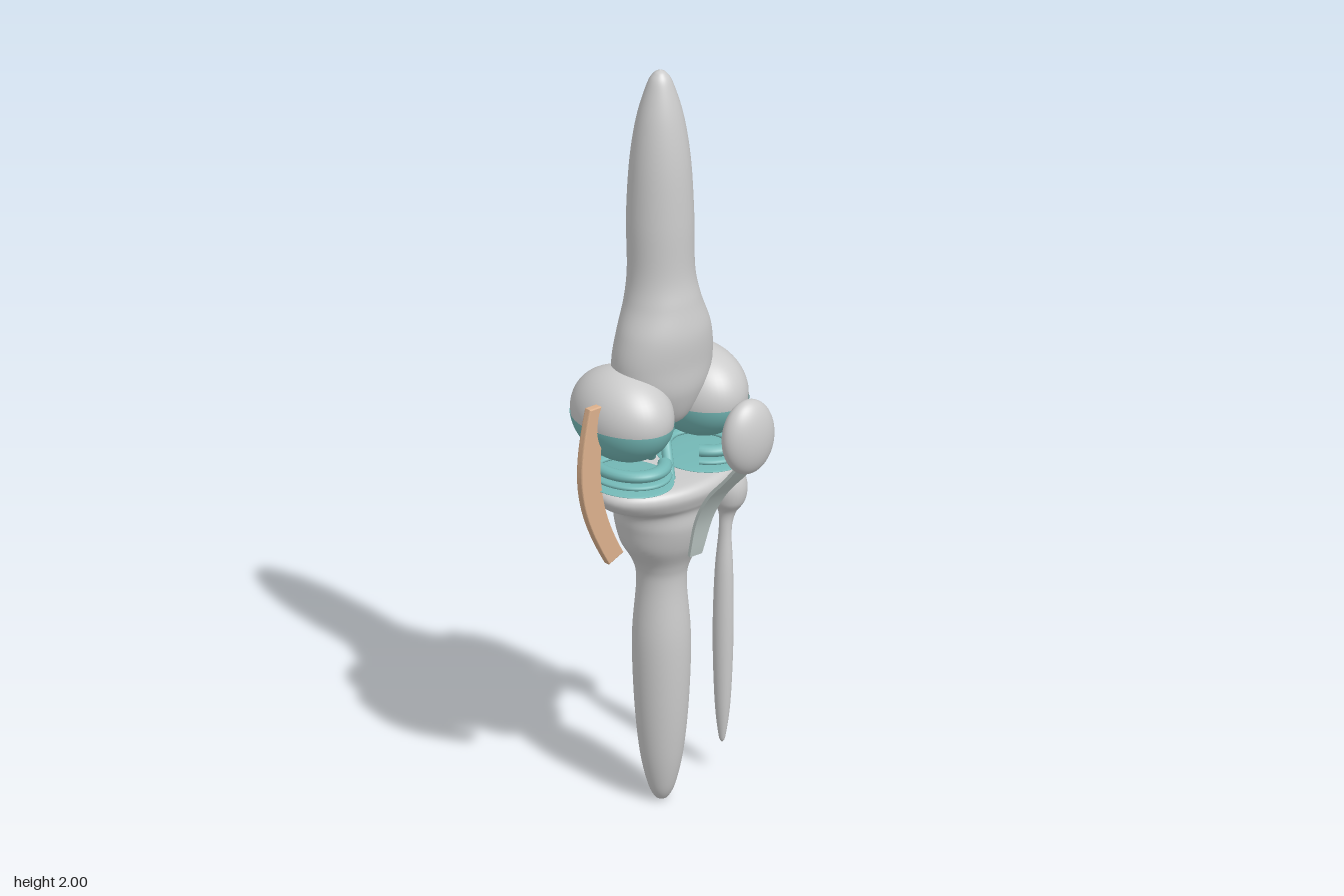
import * as THREE from 'three';

const bone = new THREE.MeshStandardMaterial({ color: 0xcccccc });
const cartilage = new THREE.MeshStandardMaterial({ color: 0x74b8b6 });
const sinew = new THREE.MeshStandardMaterial({ color: 0xc6d2cf, side: THREE.DoubleSide });
const band = new THREE.MeshStandardMaterial({ color: 0xdbb08c });

// Smooth elliptical loft through sections [y, rx, rz, cx, cz], listed from bottom to top
function loft(sections, rows = 96, sides = 40) {
  const curve = (f) => new THREE.CatmullRomCurve3(sections.map(f), false, 'catmullrom', 0.5);
  const size = curve((s) => new THREE.Vector3(s[1], s[0], s[2]));
  const centre = curve((s) => new THREE.Vector3(s[3], 0, s[4]));
  const positions = [], index = [];
  for (let i = 0; i <= rows; i++) {
    const s = size.getPoint(i / rows), c = centre.getPoint(i / rows);
    for (let j = 0; j < sides; j++) {
      const a = (j / sides) * Math.PI * 2;
      positions.push(c.x + s.x * Math.cos(a), s.y, c.z + s.z * Math.sin(a));
      if (i === rows) continue;
      const k = (j + 1) % sides, p = i * sides, q = p + sides;
      index.push(p + j, q + j, p + k, p + k, q + j, q + k);
    }
  }
  const g = new THREE.BufferGeometry();
  g.setAttribute('position', new THREE.Float32BufferAttribute(positions, 3));
  g.setIndex(index);
  g.computeVertexNormals();
  return g;
}

function ellipsoid(rx, ry, rz, thetaStart = 0) {
  return new THREE.SphereGeometry(1, 48, 32, 0, Math.PI * 2, thetaStart, Math.PI - thetaStart).scale(rx, ry, rz);
}

function cord(points, radius) {
  const path = new THREE.CatmullRomCurve3(points.map((p) => new THREE.Vector3(...p)));
  return new THREE.TubeGeometry(path, 32, radius, 14);
}

export function createModel() {
  const model = new THREE.Group();
  const add = (name, geometry, material, x = 0, y = 0, z = 0) => {
    const mesh = new THREE.Mesh(geometry, material);
    mesh.name = name;
    mesh.position.set(x, y, z);
    model.add(mesh);
    return mesh;
  };

  // Thigh bone shaft flaring into the joint
  add('femur', loft([
    [1.03, 0, 0, 0, -0.115], [1.06, 0.06, 0.07, 0, -0.115], [1.14, 0.125, 0.107, 0, -0.115],
    [1.22, 0.14, 0.106, 0, -0.108], [1.3, 0.128, 0.103, 0, -0.102], [1.38, 0.1, 0.093, 0, -0.106],
    [1.46, 0.086, 0.085, 0, -0.112], [1.6, 0.085, 0.086, 0, -0.115], [1.75, 0.077, 0.078, 0, -0.115],
    [1.87, 0.06, 0.06, 0, -0.115], [1.96, 0.034, 0.034, 0, -0.115], [1.99, 0.017, 0.017, 0, -0.115],
    [2, 0, 0, 0, -0.115],
  ]), bone);

  // Shin bone with its broad plateau
  add('tibia', loft([
    [0, 0, 0, 0, -0.11], [0.01, 0.018, 0.018, 0, -0.11], [0.05, 0.036, 0.037, 0, -0.11],
    [0.14, 0.055, 0.056, 0, -0.11], [0.28, 0.068, 0.07, 0, -0.11], [0.45, 0.073, 0.075, 0, -0.11],
    [0.6, 0.062, 0.065, 0, -0.11], [0.66, 0.073, 0.074, 0, -0.11], [0.72, 0.109, 0.101, 0, -0.108],
    [0.78, 0.125, 0.117, 0, -0.106], [0.826, 0.137, 0.113, 0, -0.1], [0.85, 0.185, 0.122, 0, -0.098],
    [0.88, 0.207, 0.131, 0, -0.097], [0.902, 0.195, 0.12, 0, -0.097], [0.908, 0.15, 0.09, 0, -0.097],
    [0.905, 0, 0, 0, -0.097],
  ]), bone);

  // Paired joint surfaces
  for (const side of [-1, 1]) {
    const label = side > 0 ? 'left' : 'right', x = side * 0.122;
    add(label + 'Condyle', ellipsoid(0.112, 0.119, 0.152), bone, x, 1.094, -0.118);
    add(label + 'CondyleCartilage', ellipsoid(0.114, 0.122, 0.154, Math.acos(-0.1)), cartilage, x, 1.094, -0.118)
      .material = new THREE.MeshStandardMaterial({ color: 0x74b8b6, side: THREE.DoubleSide });

    // C-shaped menisci, open towards the middle
    [[0.966, 0.015], [0.939, 0.008]].forEach(([y, thick], i) => {
      const arc = Math.PI * 1.55;
      const ring = new THREE.TorusGeometry(1, 0.2, 14, 56, arc);
      ring.rotateZ((side > 0 ? 0 : Math.PI) - arc / 2).rotateX(Math.PI / 2);
      ring.scale(0.083, thick / 0.2, 0.102);
      add(label + 'Meniscus' + (i + 1), ring, cartilage, side * 0.12, y, -0.097);
    });
    add(label + 'TibialCartilage', ellipsoid(0.105, 0.008, 0.124), cartilage, side * 0.118, 0.917, -0.097);
  }

  // Crossing ligaments in the notch
  add('frontCruciate', cord([[0.05, 1.06, -0.17], [0.015, 0.97, -0.11], [-0.03, 0.895, -0.04]], 0.014), cartilage);
  add('backCruciate', cord([[-0.05, 1.06, -0.06], [-0.015, 0.97, -0.125], [0.03, 0.895, -0.19]], 0.014), cartilage);

  // Kneecap and its flat tendon
  add('patella', ellipsoid(0.077, 0.1, 0.047), bone, 0, 1.11, 0.222);
  const path = new THREE.CatmullRomCurve3([[1.04, 0.225], [0.98, 0.172], [0.91, 0.105], [0.83, 0.055], [0.715, 0.018]]
    .map(([y, z]) => new THREE.Vector3(0, y, z)));
  const tendon = new THREE.BoxGeometry(1, 1, 1, 1, 40, 1);
  const pos = tendon.attributes.position;
  for (let i = 0; i < pos.count; i++) {
    const t = 0.5 - pos.getY(i);
    const p = path.getPoint(t), d = path.getTangent(t), w = pos.getZ(i) * 0.009;
    const width = 0.066 - 0.026 * Math.pow(t, 3);
    pos.setXYZ(i, pos.getX(i) * width, p.y + d.z * w, p.z - d.y * w);
  }
  tendon.computeVertexNormals();
  add('patellarTendon', tendon, sinew);

  // Slender outer bone with its head
  add('fibula', loft([
    [0.08, 0, 0, 0.22, -0.135], [0.1, 0.008, 0.01, 0.22, -0.135], [0.2, 0.019, 0.022, 0.221, -0.134],
    [0.38, 0.025, 0.028, 0.221, -0.132], [0.55, 0.022, 0.025, 0.222, -0.13], [0.66, 0.015, 0.018, 0.226, -0.13],
    [0.71, 0.02, 0.024, 0.233, -0.131], [0.745, 0.04, 0.047, 0.236, -0.132], [0.785, 0.046, 0.053, 0.237, -0.132],
    [0.825, 0.035, 0.041, 0.237, -0.132], [0.848, 0.012, 0.015, 0.237, -0.132], [0.852, 0, 0, 0.237, -0.132],
  ], 96, 28), bone);

  // Outer collateral ligament, tapering upwards
  add('outerLigament', loft([
    [0.82, 0.015, 0.017, 0.24, -0.128], [0.92, 0.014, 0.016, 0.238, -0.122], [1.02, 0.01, 0.012, 0.234, -0.114],
    [1.09, 0.007, 0.009, 0.229, -0.108], [1.13, 0.001, 0.002, 0.224, -0.105],
  ], 32, 16), sinew);

  // Inner collateral ligament, a bowed flat band
  const shape = new THREE.Shape();
  shape.moveTo(-0.255, 1.15);
  shape.bezierCurveTo(-0.3, 0.97, -0.295, 0.88, -0.192, 0.707);
  shape.lineTo(-0.144, 0.728);
  shape.bezierCurveTo(-0.225, 0.87, -0.235, 0.97, -0.2, 1.15);
  const strap = new THREE.ExtrudeGeometry(shape, {
    depth: 0.012, bevelEnabled: true, bevelSize: 0.003, bevelThickness: 0.005, bevelOffset: -0.003, curveSegments: 28,
  });
  add('innerLigament', strap, band, 0, 0, -0.102);

  return model;
}
